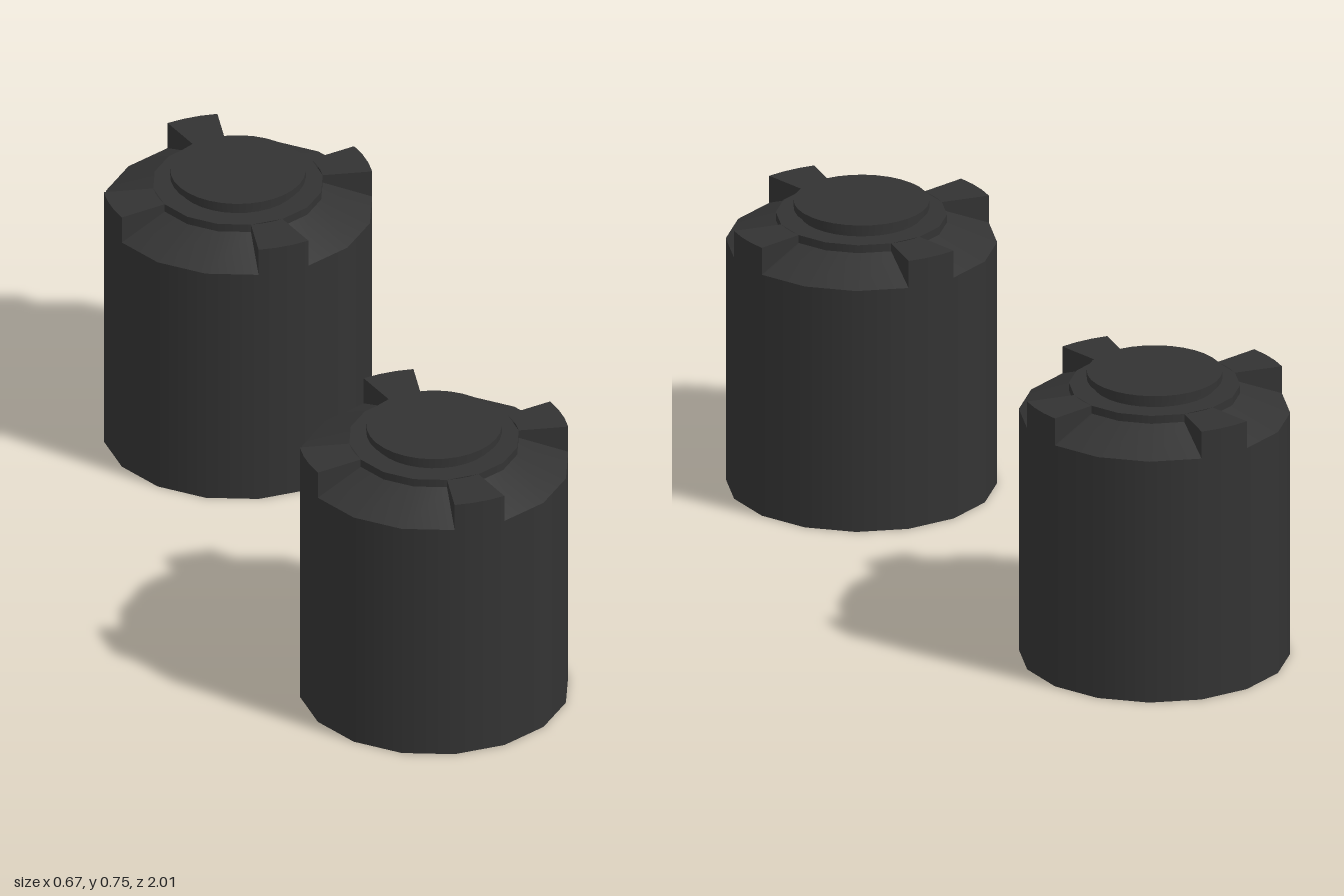
import * as THREE from 'three';

const R = 0.336;              // outer radius of the 16-sided tank
const INNER = 0.212;          // radius of the raised top plate
const Y_WALL = 0.643, Y_STEP = 0.694, Y_TOP = 0.715;
const STEP = Math.PI / 8;     // one side of the 16

const material = new THREE.MeshStandardMaterial({ color: 0x333333, side: THREE.DoubleSide });

function add(parent, name, geometry, y = 0) {
  const mesh = new THREE.Mesh(geometry, material);
  mesh.name = name;
  mesh.position.y = y;
  parent.add(mesh);
  return mesh;
}

// Open wall or cone band standing between two heights
function band(rTop, rBottom, y0, y1, sides, start = 0, length = Math.PI * 2) {
  return new THREE.CylinderGeometry(rTop, rBottom, y1 - y0, sides, 1, true, start, length)
    .translate(0, (y0 + y1) / 2, 0);
}

// Upright side of a lug, as a profile in the radius/height plane
function lugSide(angle) {
  const shape = new THREE.Shape([
    new THREE.Vector2(INNER, Y_STEP), new THREE.Vector2(R, Y_WALL),
    new THREE.Vector2(R, Y_TOP), new THREE.Vector2(INNER, Y_TOP),
  ]);
  const geometry = new THREE.ShapeGeometry(shape);
  // the side at the smaller angle faces the other way
  if (angle < 0) geometry.setIndex([...geometry.index.array].reverse()),
    geometry.attributes.normal.array.forEach((n, i, a) => { a[i] = -n; });
  return geometry.rotateY(angle - Math.PI / 2);
}

function createTank() {
  const tank = new THREE.Group();
  tank.name = 'tank';

  // Body, open underneath
  add(tank, 'body', band(R, R, 0, Y_WALL, 16, STEP / 2));

  // Flat top plate
  add(tank, 'topPlate', new THREE.CircleGeometry(INNER, 16, STEP / 2).rotateX(-Math.PI / 2), Y_TOP);

  // Four lugs with a sloping shoulder between each pair
  for (let i = 0; i < 4; i++) {
    const quarter = new THREE.Group();
    quarter.name = 'shoulderQuarter';
    quarter.rotation.y = i * Math.PI / 2;
    add(quarter, 'lugFront', band(R, R, Y_WALL, Y_TOP, 1, -STEP / 2, STEP));
    add(quarter, 'lugTop', new THREE.RingGeometry(INNER, R, 1, 1, -Math.PI / 2 - STEP / 2, STEP)
      .rotateX(-Math.PI / 2), Y_TOP);
    for (const s of [-1, 1]) add(quarter, 'lugSide', lugSide(s * STEP / 2));
    add(quarter, 'shoulder', band(INNER, R, Y_WALL, Y_STEP, 3, STEP / 2, STEP * 3));
    add(quarter, 'step', band(INNER, INNER, Y_STEP, Y_TOP, 3, STEP / 2, STEP * 3));
    tank.add(quarter);
  }

  // Neck and lid
  add(tank, 'neck', band(0.153, 0.153, Y_TOP, 0.731, 32));
  add(tank, 'lid', new THREE.CylinderGeometry(0.168, 0.168, 0.019, 32), 0.7405);

  tank.rotation.y = THREE.MathUtils.degToRad(-1.28);
  return tank;
}

export function createModel() {
  const model = new THREE.Group();
  model.name = 'tanks';
  for (const side of [1, -1]) {
    const tank = createTank();
    tank.name = side > 0 ? 'frontTank' : 'backTank';
    tank.position.z = side * 0.669;
    model.add(tank);
  }
  return model;
}
